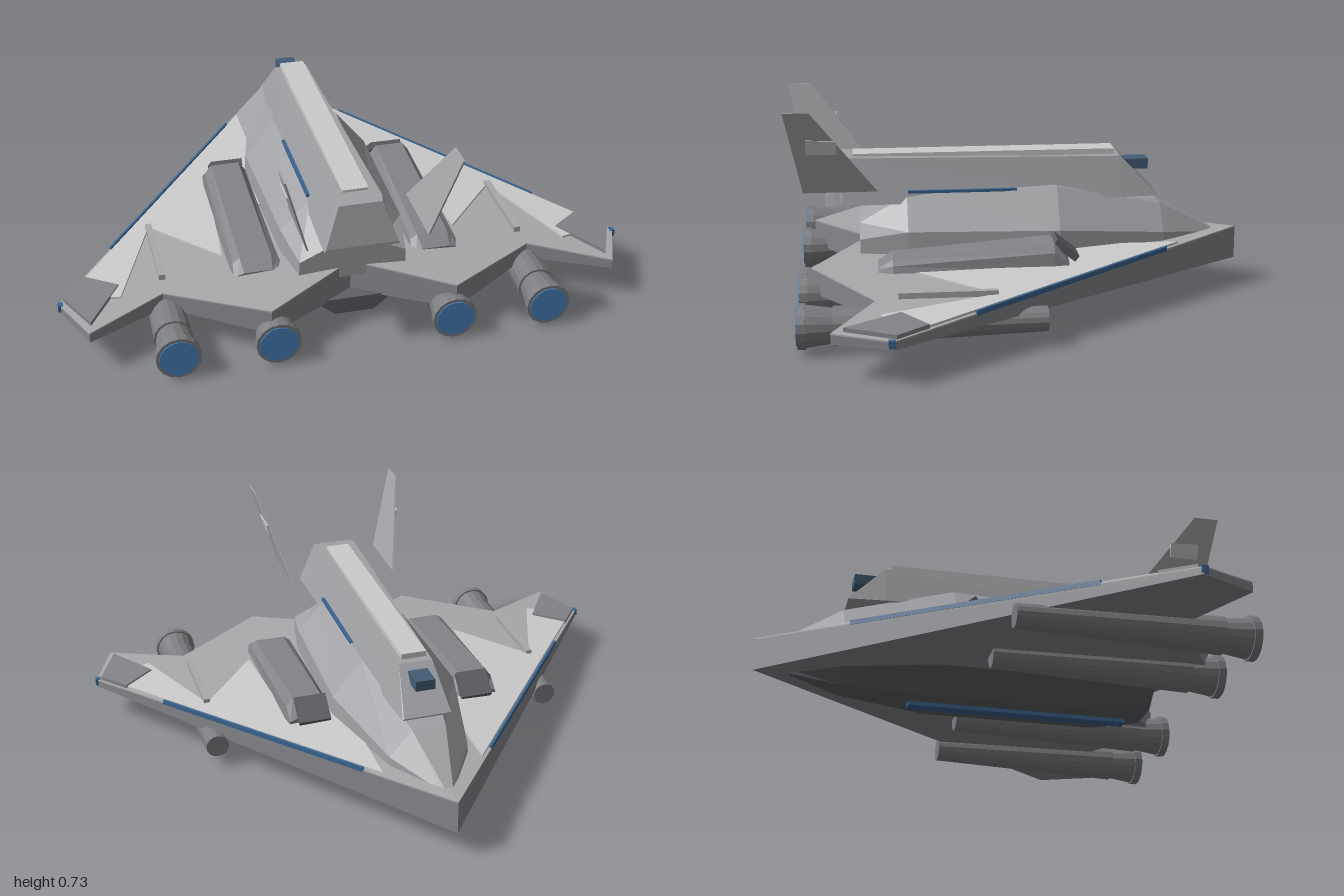
import * as THREE from 'three';

const paint = (color) => new THREE.MeshStandardMaterial({ color, flatShading: true, side: THREE.DoubleSide });
const panelGrey = paint(0xc2c3c4), skinGrey = paint(0xa8a9ab), hullGrey = paint(0xa0a2a5), finGrey = paint(0xa6a7a9);
const edgeGrey = paint(0x85878b), podGrey = paint(0x838488), engineGrey = paint(0x7c7d80), darkGrey = paint(0x5e6064);
const glow = paint(0x4682be), lightBlue = paint(0x3a6490), sensorBlue = paint(0x435c75);

// Height of the wing skins, falling and thinning towards the tips
const top = (x) => 0.212 - 0.062 * Math.abs(x);
const bottom = (x) => 0.09 + 0.032 * Math.abs(x);
const above = (d) => (x) => top(x) + d;

// Slab from a plan outline [x, z], bounded by two height rules
function plate(points, low, high) {
  const shape = new THREE.Shape(points.map(([x, z]) => new THREE.Vector2(x, -z)));
  const g = new THREE.ExtrudeGeometry(shape, { depth: 1, bevelEnabled: false });
  g.rotateX(-Math.PI / 2);
  const p = g.attributes.position;
  for (let i = 0; i < p.count; i++) p.setY(i, p.getY(i) > 0.5 ? high(p.getX(i)) : low(p.getX(i)));
  g.computeVertexNormals();
  return g;
}

// Faceted hull: each station is [z, [x, y]...], right side from bottom to top, mirrored about cx
function loft(stations, cx = 0) {
  const rings = stations.map(([z, ...half]) => [
    ...half.map(([x, y]) => [cx + x, y, z]),
    ...half.slice().reverse().map(([x, y]) => [cx - x, y, z]),
  ]);
  const out = [];
  const n = rings[0].length;
  for (let s = 0; s < rings.length - 1; s++) {
    const a = rings[s], b = rings[s + 1];
    for (let i = 0; i < n; i++) {
      const j = (i + 1) % n;
      out.push(...a[i], ...a[j], ...b[j], ...a[i], ...b[j], ...b[i]);
    }
  }
  const first = rings[0], last = rings[rings.length - 1];
  for (let i = 1; i < n - 1; i++) {
    out.push(...first[0], ...first[i + 1], ...first[i], ...last[0], ...last[i], ...last[i + 1]);
  }
  const g = new THREE.BufferGeometry();
  g.setAttribute('position', new THREE.Float32BufferAttribute(out, 3));
  g.computeVertexNormals();
  return g;
}

// Thin upright sheet from a side outline [z, y], canted outwards
function finSheet(points, thickness, side, offset = 0) {
  const shape = new THREE.Shape(points.map(([z, y]) => new THREE.Vector2(-z, y)));
  const g = new THREE.ExtrudeGeometry(shape, { depth: thickness, bevelEnabled: false });
  g.translate(0, 0, -thickness / 2).rotateY(Math.PI / 2);
  const p = g.attributes.position;
  for (let i = 0; i < p.count; i++) {
    p.setX(i, p.getX(i) + side * (0.205 + offset + (p.getY(i) - 0.43) * 0.283));
  }
  g.computeVertexNormals();
  return g;
}

export function createModel() {
  const model = new THREE.Group();
  const add = (name, geometry, material, parent = model) => {
    const mesh = new THREE.Mesh(geometry, material);
    mesh.name = name;
    parent.add(mesh);
    return mesh;
  };
  const box = (name, size, pos, material) => {
    const mesh = add(name, new THREE.BoxGeometry(...size), material);
    mesh.position.set(...pos);
    return mesh;
  };

  // Lower fuselage
  const hump = (z, w, shoulder, t, crown) => [z, [w, 0.17], [w * 0.98, shoulder], [t, crown]];
  add('fuselage', loft([
    hump(-0.735, 0.025, 0.2, 0.015, 0.212),
    hump(-0.53, 0.145, 0.235, 0.06, 0.325),
    hump(-0.14, 0.235, 0.275, 0.12, 0.41),
    hump(0.4, 0.22, 0.28, 0.11, 0.39),
    hump(0.57, 0.19, 0.25, 0.1, 0.29),
  ]), hullGrey);

  // Raised spine with a cap strip and a nose sensor
  add('spine', loft([
    [-0.515, [0.09, 0.36], [0.085, 0.365]],
    [-0.38, [0.1, 0.36], [0.06, 0.505]],
    [0.63, [0.13, 0.36], [0.08, 0.522]],
    [0.66, [0.13, 0.36], [0.075, 0.515]],
    [0.69, [0.13, 0.36], [0.125, 0.37]],
  ]), hullGrey);
  box('spineStrip', [0.09, 0.02, 0.95], [0, 0.52, 0.115], panelGrey);
  box('noseSensor', [0.07, 0.037, 0.085], [0, 0.468, -0.445], sensorBlue);

  // Belly keel
  add('belly', loft([
    [-0.7, [0.008, 0.085], [0.01, 0.1]],
    [-0.53, [0.05, 0.042], [0.1, 0.1]],
    [-0.2, [0.09, 0.014], [0.185, 0.1]],
    [0.42, [0.09, 0.014], [0.185, 0.1]],
    [0.6, [0.07, 0.04], [0.14, 0.1]],
  ]), darkGrey);
  box('bellyStrip', [0.045, 0.014, 0.8], [0, 0.007, 0.12], lightBlue);

  for (const side of [1, -1]) {
    const word = side > 0 ? 'left' : 'right';
    const flip = (pts) => pts.map(([x, z]) => [side * x, z]);

    // Half of the delta wing: dark slab under a lighter skin
    const wing = flip([[0, -0.83], [0.997, 0.475], [0.915, 0.67], [0.65, 0.525], [0.32, 0.74], [0, 0.54]]);
    add(word + 'Wing', plate(wing, bottom, above(-0.005)), edgeGrey);
    add(word + 'WingSkin', plate(wing, above(-0.005), top), skinGrey);

    // Raised wing panel, tip panel and lit leading edge
    add(word + 'WingPanel', plate(flip([
      [0.18, -0.575], [0.97, 0.46], [0.79, 0.51], [0.64, 0.12], [0.42, 0.38], [0.4, 0.1], [0.18, 0.1],
    ]), above(-0.004), above(0.008)), panelGrey);
    add(word + 'TipPanel', plate(flip([
      [0.9, 0.36], [0.98, 0.465], [0.905, 0.63], [0.79, 0.445],
    ]), above(-0.004), above(0.014)), podGrey);
    add(word + 'EdgeLight', plate(flip([
      [0.235, -0.525], [0.79, 0.202], [0.784, 0.208], [0.229, -0.519],
    ]), above(-0.008), above(0.009)), lightBlue);
    box(word + 'TipLight', [0.018, 0.025, 0.022], [side * 0.991, 0.14, 0.48], lightBlue);
    box(word + 'WingRail', [0.022, 0.02, 0.33], [side * 0.64, top(0.64) + 0.012, 0.285], skinGrey);
    box(word + 'HullLight', [0.012, 0.01, 0.39], [side * 0.115, 0.402, 0.2], lightBlue);

    // Shoulder pod with a tilted intake block
    add(word + 'Pod', loft([
      [-0.15, [0.08, 0.18], [0.075, 0.205], [0.045, 0.215]],
      [-0.1, [0.086, 0.18], [0.076, 0.24], [0.052, 0.272]],
      [0.46, [0.092, 0.18], [0.08, 0.21], [0.055, 0.228]],
      [0.51, [0.086, 0.18], [0.072, 0.19], [0.05, 0.197]],
    ], side * 0.317), podGrey);
    const intake = box(word + 'Intake', [0.115, 0.025, 0.1], [side * 0.308, 0.24, -0.143], darkGrey);
    intake.rotation.x = -0.68;

    // Canted tail fin with a small stiffening panel
    add(word + 'Fin', finSheet([[0.765, 0.43], [0.505, 0.43], [0.735, 0.73], [0.825, 0.73]], 0.006, side), finGrey);
    add(word + 'FinPanel', finSheet(
      [[0.75, 0.575], [0.645, 0.575], [0.645, 0.625], [0.75, 0.63]], 0.008, side, 0.005), panelGrey);

    // Engines: tapered body, flared nozzle, rim and glowing exhaust
    for (const x of [0.305, 0.64]) {
      const engine = new THREE.Group();
      engine.name = word + (x > 0.5 ? 'Outer' : 'Inner') + 'Engine';
      engine.position.set(side * x, 0.088, 0);
      model.add(engine);
      const ring = (name, rearR, frontR, z0, z1, material) => {
        const g = new THREE.CylinderGeometry(rearR, frontR, z1 - z0, 16);
        g.rotateX(Math.PI / 2).translate(0, 0, (z0 + z1) / 2);
        add(name, g, material, engine);
      };
      ring('engineBody', 0.066, 0.042, -0.045, 0.665, engineGrey);
      ring('nozzle', 0.072, 0.058, 0.66, 0.76, engineGrey);
      ring('nozzleRim', 0.077, 0.077, 0.755, 0.782, engineGrey);
      ring('exhaustGlow', 0.066, 0.066, 0.775, 0.786, glow);
    }
  }
  return model;
}
